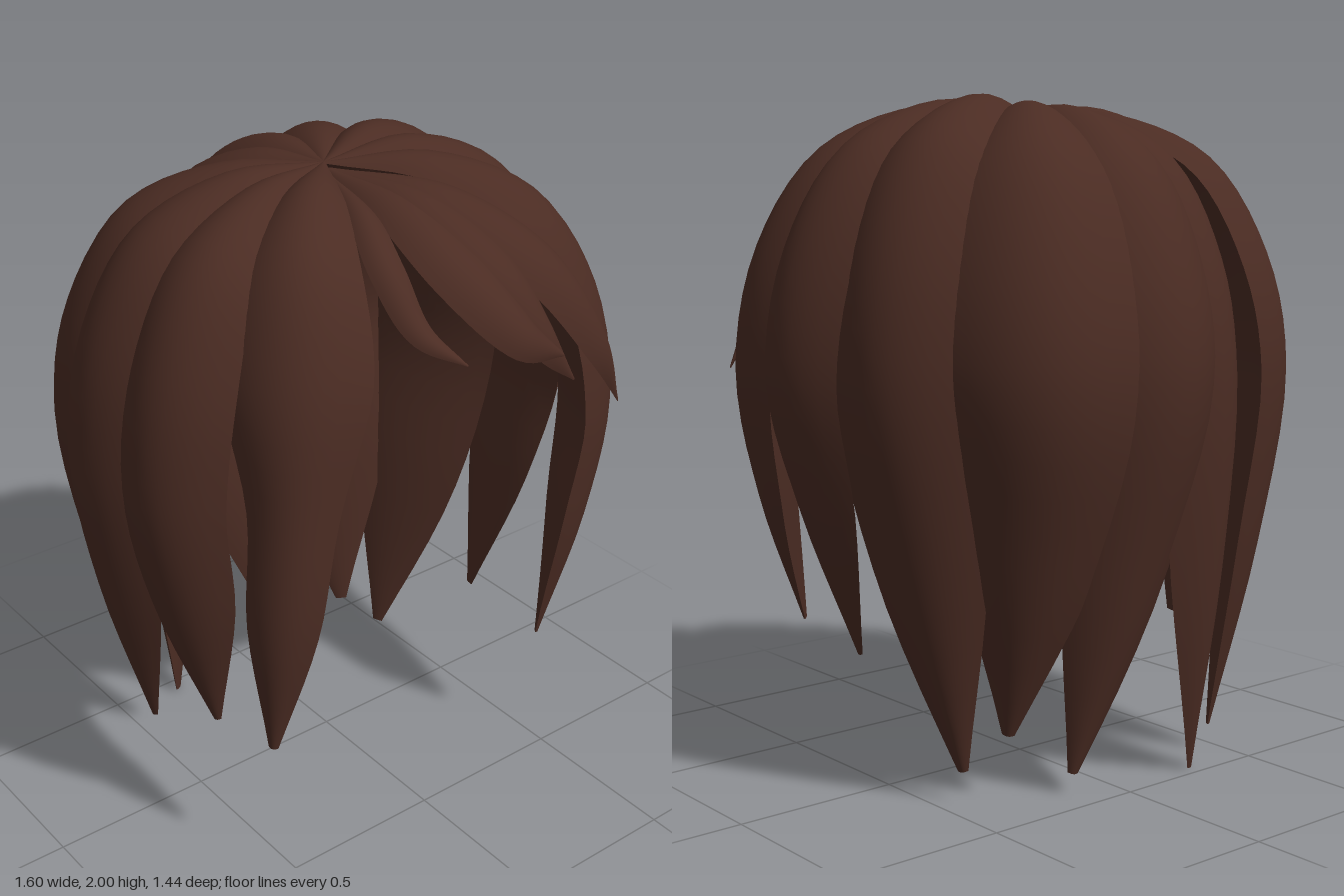
import * as THREE from 'three';

const hair = new THREE.MeshStandardMaterial({ color: 0x4b2c23 });
hair.name = 'dark brown hair';

const V = (x, y, z) => new THREE.Vector3(x, y, z);
const CROWN = V(-0.04, 1.962, 0.04);

// Lens-shaped lock swept along its outer ridge; widths holds one factor per ridge point.
function lockGeometry(points, widths, halfWidth, depth) {
  const path = new THREE.CatmullRomCurve3(points);
  const taper = new THREE.CatmullRomCurve3(widths.map((w) => V(w, 0, 0)), false, 'catmullrom');
  const rows = 30, cols = 10;
  const pos = [], idx = [];
  for (const outer of [true, false]) {
    const base = pos.length / 3;
    for (let i = 0; i <= rows + 1; i++) {
      const t = Math.min(i / rows, 1);
      const p = path.getPoint(t);
      const tangent = path.getTangent(t);
      const radial = V(p.x, Math.max(p.y - 1.2, 0), p.z);
      const side = tangent.clone().cross(radial).normalize();
      const normal = side.clone().cross(tangent).normalize();
      // The extra last ring closes the blunt tip
      const s = i > rows ? 0 : Math.max(taper.getPoint(t).x, 0.02);
      for (let j = 0; j <= cols; j++) {
        const u = (outer ? 1 : -1) * (2 * j / cols - 1);
        const drop = outer ? u * u : 1.3 - 0.3 * u * u;
        const q = p.clone()
          .addScaledVector(side, u * halfWidth * s)
          .addScaledVector(normal, -depth * s * drop);
        pos.push(q.x, q.y, q.z);
      }
    }
    for (let i = 0; i <= rows; i++) {
      for (let j = 0; j < cols; j++) {
        const a = base + i * (cols + 1) + j, b = a + 1, c = a + cols + 1, d = c + 1;
        idx.push(a, b, c, b, d, c);
      }
    }
  }
  const g = new THREE.BufferGeometry();
  g.setAttribute('position', new THREE.Float32BufferAttribute(pos, 3));
  g.setIndex(idx);
  g.computeVertexNormals();
  return g;
}

// Long lock: over the crown, out to its widest point, then down to the tip.
function longLock(top, [bx, bz], [tx, ty, tz], halfWidth, low) {
  const out = (f, y) => V(CROWN.x + (bx - CROWN.x) * f, y, CROWN.z + (bz - CROWN.z) * f);
  const bulge = V(bx, 1.2, bz), tip = V(tx, ty, tz);
  const mid = bulge.clone().lerp(tip, 0.48);
  mid.x *= 1.04;
  mid.z *= 1.04;
  const points = [CROWN.clone(), out(0.35, top), out(0.7, top - 0.125), out(0.92, top - 0.41), bulge, mid, tip];
  const widths = [0.03, 0.45, 0.8, 1, low, 0.8 * low, 0.07];
  return lockGeometry(points, widths, halfWidth, halfWidth * 0.52);
}

// name, crest height, widest point [x, z], tip [x, y, z], half width, lower width factor
const LONG_LOCKS = [
  ['leftLock', 1.985, [0.8, 0.12], [0.54, 0.38, 0.09], 0.2, 1],
  ['leftRearLock', 1.998, [0.71, -0.25], [0.43, 0.09, -0.26], 0.23, 1],
  ['backLeftLock', 1.975, [0.43, -0.64], [0.32, 0.19, -0.33], 0.26, 1],
  ['backLock', 1.965, [0.02, -0.72], [0.14, 0.06, -0.41], 0.23, 1],
  ['backInnerLock', 1.95, [-0.26, -0.63], [-0.29, 0.0, -0.46], 0.22, 1],
  ['backRightLock', 1.95, [-0.65, -0.48], [-0.46, 0.08, -0.37], 0.22, 1],
  ['rightLock', 1.97, [-0.8, -0.11], [-0.66, 0.34, 0.0], 0.22, 1],
  ['rightFrontLock', 1.965, [-0.77, 0.22], [-0.61, 0.46, 0.27], 0.19, 1],
  ['frontRightLock', 1.98, [-0.53, 0.53], [-0.56, 0.46, 0.48], 0.2, 0.62],
  ['frontLeftLock', 1.975, [0.7, 0.48], [0.49, 0.41, 0.46], 0.21, 1],
];

// name, ridge points, half width
const FRINGE = [
  ['fringeLong', [[-0.04, 1.95, 0.06], [0.12, 1.94, 0.36], [0.32, 1.77, 0.57], [0.5, 1.5, 0.63], [0.69, 1.2, 0.53]], 0.12],
  ['fringeMiddle', [[-0.04, 1.95, 0.06], [0.04, 1.94, 0.36], [0.13, 1.8, 0.59], [0.24, 1.6, 0.67], [0.39, 1.4, 0.63]], 0.1],
  ['fringeShort', [[-0.04, 1.95, 0.07], [-0.02, 1.935, 0.35], [0.01, 1.82, 0.59], [0.12, 1.65, 0.71], [0.28, 1.53, 0.69]], 0.1],
  ['fringeWisp', [[-0.05, 1.94, 0.08], [-0.13, 1.92, 0.33], [-0.18, 1.83, 0.5], [-0.16, 1.69, 0.61], [-0.07, 1.6, 0.69]], 0.05],
];

export function createModel() {
  const group = new THREE.Group();
  group.name = 'hair';
  const add = (name, geometry) => {
    const mesh = new THREE.Mesh(geometry, hair);
    mesh.name = name;
    group.add(mesh);
  };
  for (const [name, ...shape] of LONG_LOCKS) add(name, longLock(...shape));
  for (const [name, pts, w] of FRINGE) {
    add(name, lockGeometry(pts.map((p) => V(...p)), [0.1, 0.8, 1, 0.75, 0.05], w, w * 0.45));
  }
  return group;
}
